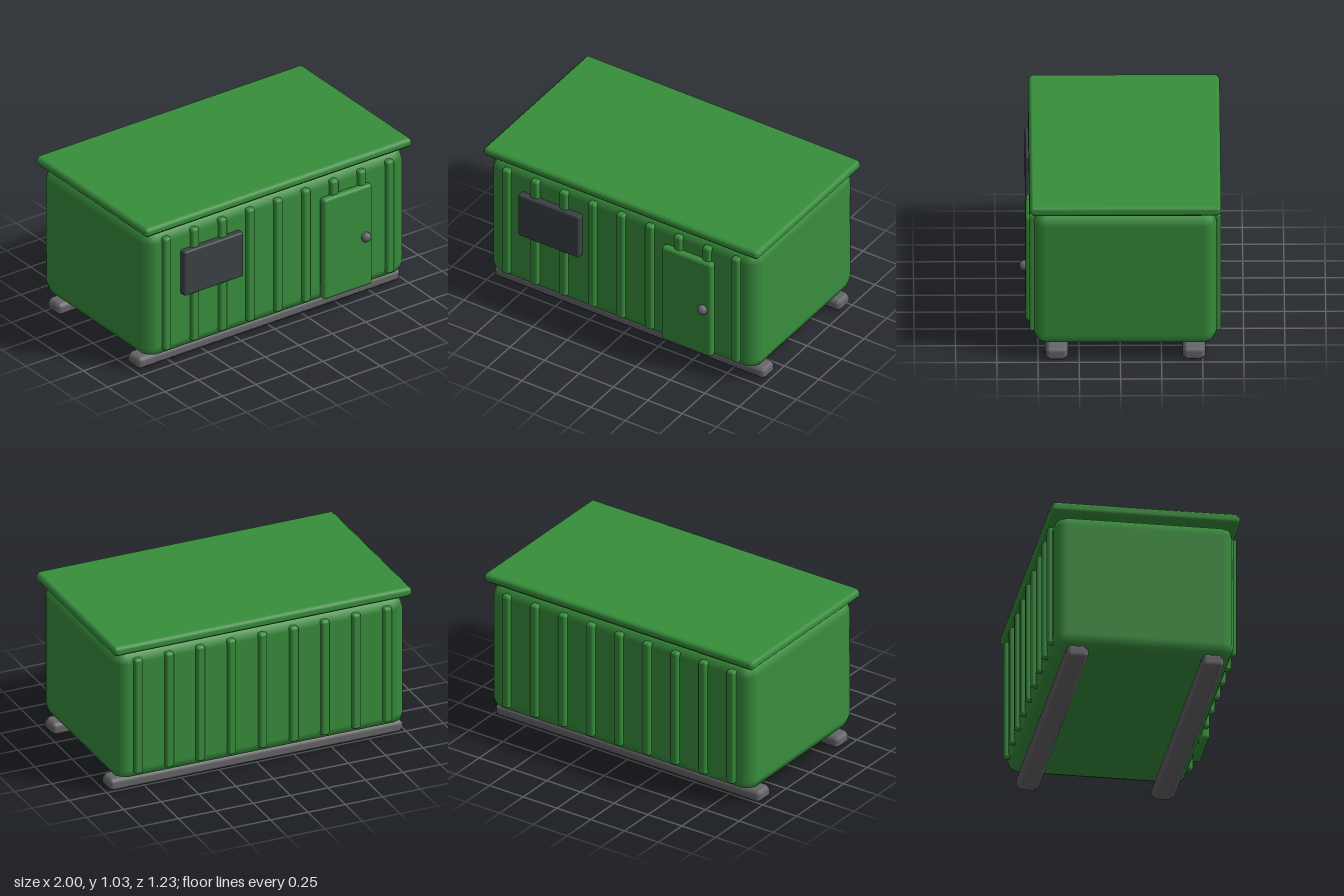
import * as THREE from 'three';

const mat = (name, color) => {
  const m = new THREE.MeshStandardMaterial({ color });
  m.name = name;
  return m;
};

// How far edge and corner vertices sink in, as a share of the bevel radius
const ROUND = [0, 0, 0.293, 0.423];
const CHAMFER = [0, 0, 0.5, 0.667];

// Box with smooth-shaded bevelled edges: a 3x3x3 box grid moved by rule
function bevelBox(w, h, d, r, sink = ROUND) {
  const half = [w / 2, h / 2, d / 2];
  const geo = new THREE.BoxGeometry(w, h, d, 3, 3, 3);
  const { position, normal } = geo.attributes;
  for (let i = 0; i < position.count; i++) {
    const p = [position.getX(i), position.getY(i), position.getZ(i)];
    const outer = p.map((v, a) => Math.abs(v) > half[a] * 0.9);
    const count = outer.filter(Boolean).length;
    const q = p.map((v, a) => Math.sign(v) * (half[a] - r * (outer[a] ? sink[count] : 1)));
    const n = new THREE.Vector3(...p.map((v, a) => (outer[a] ? Math.sign(v) : 0))).normalize();
    position.setXYZ(i, ...q);
    normal.setXYZ(i, n.x, n.y, n.z);
  }
  return geo;
}

export function createModel() {
  const green = mat('green paint', 0x388e3c);
  const grey = mat('grey metal', 0x66666a);
  const dark = mat('dark glass', 0x3b4145);

  const group = new THREE.Group();
  group.name = 'cabin';
  const add = (name, geo, material, x, y, z) => {
    const mesh = new THREE.Mesh(geo, material);
    mesh.name = name;
    mesh.position.set(x, y, z);
    group.add(mesh);
  };

  const midZ = -0.03;
  const wall = 0.555; // half depth of the body

  // Body and overhanging roof
  add('body', bevelBox(1.94, 0.875, wall * 2, 0.078), green, 0, 0.5275, midZ);
  add('roof', bevelBox(2, 0.066, 1.164, 0.024, CHAMFER), green, 0, 0.997, midZ);

  // Skids under the front and back
  const skidGeo = bevelBox(1.97, 0.086, 0.138, 0.028, CHAMFER);
  for (const side of [1, -1]) {
    add(side > 0 ? 'frontSkid' : 'backSkid', skidGeo, grey, 0, 0.045, midZ + side * 0.417);
  }

  // Vertical ribs on the front and back walls
  const ribGeo = bevelBox(0.056, 0.778, 0.055, 0.016);
  for (let i = 0; i < 9; i++) {
    const x = (i - 4) * 0.208;
    add('frontRib', ribGeo, green, x, 0.532, midZ + wall);
    add('backRib', ribGeo, green, x, 0.532, midZ - wall);
  }

  // Door with knob, and window
  add('door', bevelBox(0.365, 0.695, 0.055, 0.02), green, 0.497, 0.477, 0.547);
  add('doorKnob', new THREE.SphereGeometry(0.033, 12, 8), grey, 0.622, 0.477, 0.582);
  add('window', bevelBox(0.442, 0.305, 0.055, 0.012), dark, -0.504, 0.644, 0.545);

  return group;
}
